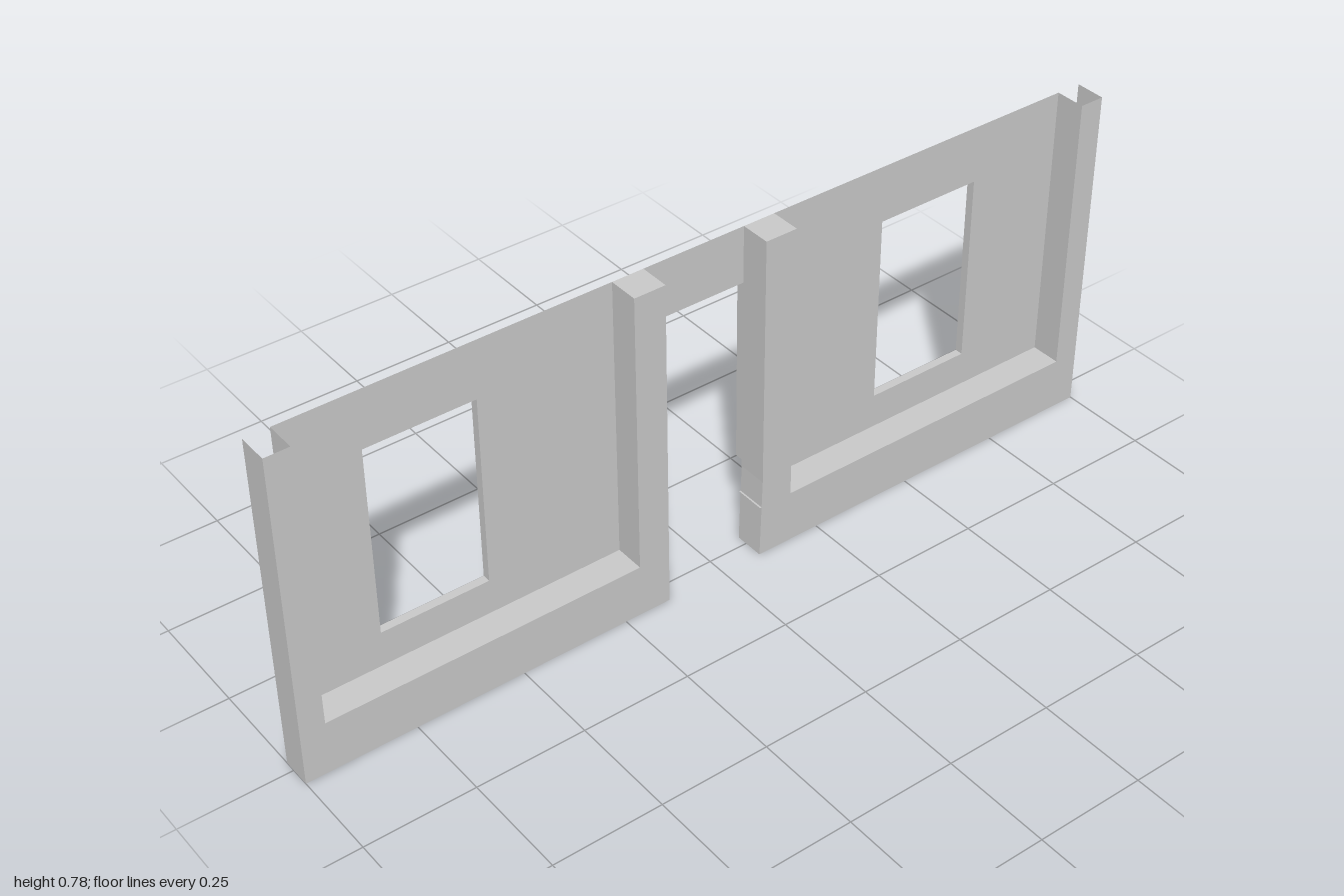
import * as THREE from 'three';

const FRONT = 0.045, BACK = -0.025, RIM = -0.044;
const TOP = 0.78, SILL = 0.125, HEAD = 0.648, WINDOW_BASE = 0.207;
const material = new THREE.MeshStandardMaterial({
  color: 0xcccccc, side: THREE.DoubleSide, flatShading: true,
});

const toShape = (pts) => new THREE.Shape(pts.map(([x, y]) => new THREE.Vector2(x, y)));
const rect = (x0, x1, y0, y1) => [[x0, y0], [x1, y0], [x1, y1], [x0, y1]];

function add(parent, name, geometry) {
  const mesh = new THREE.Mesh(geometry, material);
  mesh.name = name;
  parent.add(mesh);
}

// Flat sheet facing the front at depth z
function sheet(parent, name, shape, z) {
  add(parent, name, new THREE.ShapeGeometry(shape).translate(0, 0, z));
}

// Ribbon following a path in x and y, running from depth z0 to z1
function ribbon(parent, name, pts, z0, z1, endPts = pts) {
  const pos = [];
  for (let i = 0; i < pts.length - 1; i++) {
    const a = [...pts[i], z0], b = [...pts[i + 1], z0];
    const c = [...endPts[i + 1], z1], d = [...endPts[i], z1];
    pos.push(...a, ...b, ...c, ...a, ...c, ...d);
  }
  const g = new THREE.BufferGeometry();
  g.setAttribute('position', new THREE.Float32BufferAttribute(pos, 3));
  g.computeVertexNormals();
  add(parent, name, g);
}

// One wall bay: hollow posts and sill around a recessed panel with a window
function wallBay(name, { end, postIn, panelIn, jamb, jambFoot, win }) {
  const bay = new THREE.Group();
  bay.name = name;

  // U-shaped front of the frame
  const outer = [[end, TOP], [end, 0], [jambFoot, 0], [jamb, 0.19], [jamb, TOP]];
  const inner = [[panelIn, TOP], [panelIn, SILL], [postIn, SILL], [postIn, TOP]];
  sheet(bay, 'frameFront', toShape([...outer, ...inner]), FRONT);

  // Outer sides, underside and the cap over the door post
  ribbon(bay, 'frameOuterSides', [...outer, [panelIn, TOP]], FRONT, BACK);
  ribbon(bay, 'frameInnerSides', inner, FRONT, BACK);
  ribbon(bay, 'doorPostShelf', [[panelIn, SILL], [jambFoot, SILL]], FRONT, BACK);

  // Recessed panel with window opening
  const x0 = Math.min(postIn, panelIn), x1 = Math.max(postIn, panelIn);
  const panel = toShape(rect(x0, x1, SILL, TOP));
  panel.holes.push(new THREE.Path(
    rect(win[0], win[1], WINDOW_BASE, HEAD).map(([x, y]) => new THREE.Vector2(x, y))));
  sheet(bay, 'panel', panel, BACK);

  // Window reveal, its head rising slightly towards the back
  const loop = (head) => {
    const r = rect(win[0], win[1], WINDOW_BASE, head);
    return [...r, r[0]];
  };
  ribbon(bay, 'windowReveal', loop(HEAD), BACK, RIM, loop(HEAD + 0.007));
  return bay;
}

export function createModel() {
  const model = new THREE.Group();
  model.name = 'wallWithDoorway';

  model.add(wallBay('rightBay', {
    end: -1, postIn: -0.945, panelIn: -0.213, jamb: -0.14, jambFoot: -0.14, win: [-0.772, -0.525],
  }));
  model.add(wallBay('leftBay', {
    end: 1, postIn: 0.942, panelIn: 0.177, jamb: 0.102, jambFoot: 0.096, win: [0.462, 0.714],
  }));

  // Lintel over the doorway, and the door reveal behind it
  sheet(model, 'lintel', toShape(rect(-0.14, 0.102, HEAD, TOP)), BACK);
  const reveal = (head) => [[-0.14, WINDOW_BASE], [-0.14, head], [0.102, head], [0.102, WINDOW_BASE]];
  ribbon(model, 'doorReveal', reveal(HEAD), BACK, RIM, reveal(HEAD + 0.007));
  return model;
}
